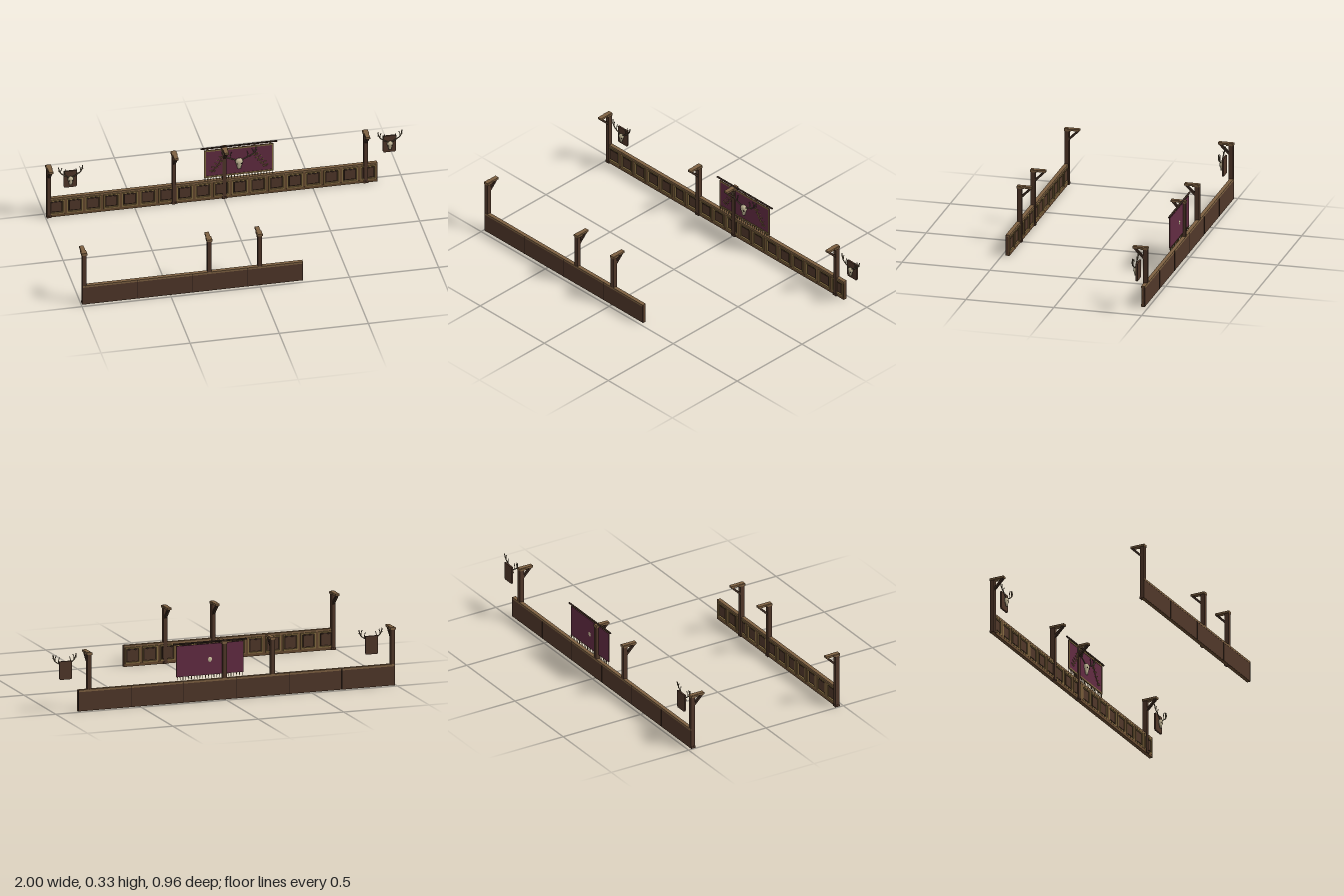
import * as THREE from 'three';

const mat = (name, color) => Object.assign(new THREE.MeshStandardMaterial({ color }), { name });
const M = {
  wood: mat('darkWood', 0x503729),
  rail: mat('railWood', 0x65492f),
  cap: mat('capWood', 0x7d6041),
  brace: mat('braceWood', 0x3b2a20),
  gold: mat('mouldingGold', 0x836a40),
  cloth: mat('burgundyCloth', 0x622c42),
  bone: mat('bone', 0xc9bd9c),
  antler: mat('antlerHorn', 0x74664f),
  seam: mat('shadowSeam', 0x2a1d17),
};

function add(parent, name, geo, material, x = 0, y = 0, z = 0) {
  const m = new THREE.Mesh(geo, material);
  m.name = name;
  m.position.set(x, y, z);
  parent.add(m);
  return m;
}
const box = (p, name, mt, w, h, d, x, y, z) => add(p, name, new THREE.BoxGeometry(w, h, d), mt, x, y, z);

// Rectangular picture frame, centred on its own depth
function frame(w, h, t, depth) {
  const rect = (P, a, b) => new P([[-a, -b], [a, -b], [a, b], [-a, b]].map(([x, y]) => new THREE.Vector2(x, y)));
  const s = rect(THREE.Shape, w / 2, h / 2);
  s.holes.push(rect(THREE.Path, w / 2 - t, h / 2 - t));
  return new THREE.ExtrudeGeometry(s, { depth, bevelEnabled: false }).translate(0, 0, -depth / 2);
}

const BAY = 0.3085, LEFT = -0.99;

// One wainscot bay; s = 1 faces +z (back wall), s = -1 faces -z (front wall)
function bay(parent, x0, s) {
  const g = new THREE.Group();
  g.name = 'wallBay';
  parent.add(g);
  const cx = x0 + BAY / 2, z = d => -d * s;
  box(g, 'backing', M.wood, BAY, 0.118, 0.012, cx, 0.06, z(0.474));
  box(g, 'topRail', M.cap, BAY, 0.012, 0.022, cx, 0.114, z(0.47));
  box(g, 'bottomRail', M.rail, BAY, 0.016, 0.02, cx, 0.008, z(0.469));
  box(g, 'seam', M.seam, 0.003, 0.118, 0.002, x0 + BAY - 0.0015, 0.06, z(0.4805));
  const pitch = BAY / 3;
  for (let i = 0; i <= 3; i++) {
    const w = i % 3 ? 0.014 : 0.007;
    const x = x0 + i * pitch + (i === 0 ? 0.0035 : i === 3 ? -0.0035 : 0);
    box(g, 'stile', M.rail, w, 0.096, 0.009, x, 0.06, z(0.4645));
  }
  for (let i = 0; i < 3; i++) {
    const x = x0 + (i + 0.5) * pitch;
    add(g, 'moulding', frame(0.088, 0.09, 0.008, 0.012), M.gold, x, 0.061, z(0.464));
    box(g, 'raisedPanel', M.wood, 0.058, 0.06, 0.008, x, 0.061, z(0.465));
    add(g, 'panelEdge', frame(0.062, 0.064, 0.003, 0.006), M.seam, x, 0.061, z(0.466));
  }
}

// Post with a bracketed cap beam pointing into the room
function post(parent, x, s) {
  const g = new THREE.Group();
  g.name = 'post';
  parent.add(g);
  const z = d => -d * s;
  box(g, 'shaft', M.wood, 0.022, 0.314, 0.026, x, 0.157, z(0.467));
  box(g, 'foot', M.wood, 0.026, 0.012, 0.028, x, 0.006, z(0.466));
  box(g, 'capBeam', M.cap, 0.024, 0.012, 0.086, x, 0.321, z(0.438));
  box(g, 'collar', M.cap, 0.032, 0.012, 0.04, x, 0.319, z(0.461));
  const b = box(g, 'brace', M.brace, 0.014, 0.078, 0.012, x, 0.288, z(0.431));
  b.rotation.x = s * Math.PI / 4;
}

function tube(parent, name, pts, r, material) {
  const c = new THREE.CatmullRomCurve3(pts.map(p => new THREE.Vector3(...p)));
  return add(parent, name, new THREE.TubeGeometry(c, 10, r, 6), material);
}

// Deer skull with branching antlers, built about the skull centre
function skull(parent, x, y, z, k, spread, rise) {
  const g = new THREE.Group();
  g.name = 'antlerSkull';
  g.position.set(x, y, z);
  parent.add(g);
  const profile = [[0, -0.026], [0.008, -0.024], [0.0095, -0.014], [0.014, 0], [0.0175, 0.01], [0.015, 0.02], [0.007, 0.026], [0, 0.027]];
  const head = add(g, 'skull', new THREE.LatheGeometry(profile.map(p => new THREE.Vector2(...p)), 14), M.bone);
  head.scale.set(k, k, 0.65 * k);
  for (const m of [-1, 1]) {
    const eye = add(g, 'eyeSocket', new THREE.SphereGeometry(0.0035 * k, 8, 6), M.seam, m * 0.009 * k, 0.004 * k, 0.0085 * k);
    eye.scale.z = 0.5;
    const P = (u, v, w = 0) => [m * u * spread, v * rise, w];
    tube(g, 'antlerBeam', [P(0.1, 0.22), P(0.45, 0.4, 0.003), P(0.8, 0.6, 0.002), P(0.93, 0.82), P(0.97, 1, -0.003)], 0.0032, M.antler);
    for (const [a, b] of [[[0.5, 0.43], [0.42, 0.82]], [[0.8, 0.6], [0.7, 0.95]], [[0.88, 0.72], [1, 0.8]]]) {
      tube(g, 'antlerTine', [P(...a), P((a[0] + b[0]) / 2 + 0.03, (a[1] + b[1]) / 2), P(...b)], 0.0022, M.antler);
    }
  }
}

// Mounted trophy on a wooden plaque
function trophy(parent, x) {
  const g = new THREE.Group();
  g.name = 'trophy';
  parent.add(g);
  const s = new THREE.Shape();
  [[-0.032, 0.182], [0.032, 0.182], [0.037, 0.19], [0.037, 0.285], [-0.037, 0.285], [-0.037, 0.19]]
    .forEach(([u, v], i) => (i ? s.lineTo(u, v) : s.moveTo(u, v)));
  add(g, 'plaque', new THREE.ExtrudeGeometry(s, { depth: 0.01, bevelEnabled: false }), M.wood, x, 0, -0.466);
  skull(g, x, 0.23, -0.445, 1, 0.07, 0.092);
}

function banner(parent) {
  const g = new THREE.Group();
  g.name = 'banner';
  parent.add(g);
  const cx = 0.084, z = -0.463;
  box(g, 'cloth', M.cloth, 0.39, 0.174, 0.004, cx, 0.23, z);
  add(g, 'border', frame(0.39, 0.174, 0.009, 0.003), M.gold, cx, 0.23, z + 0.003);
  add(g, 'rod', new THREE.CylinderGeometry(0.005, 0.005, 0.43, 8).rotateZ(Math.PI / 2), M.brace, cx, 0.328, z);
  for (let i = 0; i < 5; i++) box(g, 'hangingLoop', M.gold, 0.008, 0.012, 0.003, cx - 0.176 + i * 0.088, 0.32, z);
  // Fringe
  for (let i = 0; i < 24; i++) {
    add(g, 'tassel', new THREE.CylinderGeometry(0.0028, 0.0016, 0.02, 5), M.gold, cx - 0.19 + i * 0.38 / 23, 0.134, z);
  }
  skull(g, cx, 0.215, z + 0.009, 1.25, 0.1, 0.095);
  // Leafy sprigs either side
  for (const m of [-1, 1]) {
    tube(g, 'sprigStem', [[cx + m * 0.092, 0.272, z + 0.003], [cx + m * 0.112, 0.225, z + 0.003], [cx + m * 0.155, 0.178, z + 0.003]], 0.002, M.gold);
    for (let i = 0; i < 5; i++) for (const e of [-1, 1]) {
      const t = i / 4;
      const leaf = add(g, 'leaf', new THREE.SphereGeometry(0.009, 8, 5), M.gold,
        cx + m * (0.095 + 0.055 * t + e * 0.01), 0.262 - 0.078 * t + e * 0.004, z + 0.004);
      leaf.scale.set(1, 0.38, 0.25);
      leaf.rotation.z = m * e * 0.35;
    }
  }
}

export function createModel() {
  const root = new THREE.Group();
  root.name = 'panelledHall';
  // Long back wall and shorter front wall
  for (const [s, bays, posts] of [[1, 6, [-0.982, -0.28, 0.002, 0.795]], [-1, 4, [-0.982, -0.28, 0.002]]]) {
    const wall = new THREE.Group();
    wall.name = s > 0 ? 'backWall' : 'frontWall';
    root.add(wall);
    for (let i = 0; i < bays; i++) bay(wall, LEFT + i * BAY, s);
    for (const x of posts) post(wall, x, s);
  }
  banner(root);
  trophy(root, -0.863);
  trophy(root, 0.928);
  return root;
}
